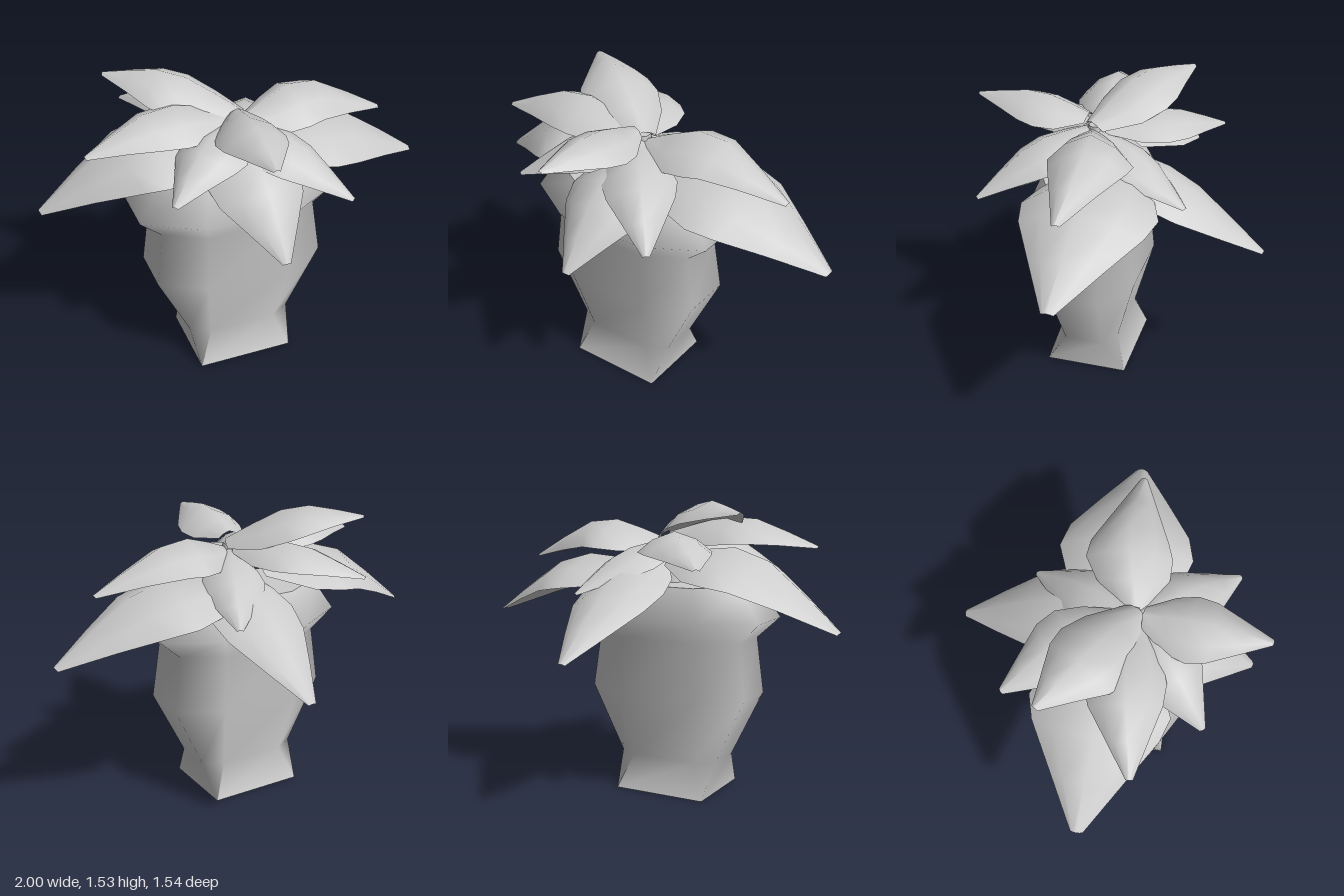
import * as THREE from 'three';

const material = new THREE.MeshStandardMaterial({ color: 0xcccccc, side: THREE.DoubleSide });

function smoothMesh(name, points, index) {
  const geometry = new THREE.BufferGeometry();
  geometry.setAttribute('position', new THREE.Float32BufferAttribute(points, 3));
  geometry.setIndex(index);
  geometry.computeVertexNormals();
  const mesh = new THREE.Mesh(geometry, material);
  mesh.name = name;
  return mesh;
}

// Rectangle with cut corners, counterclockwise seen from above
function cutRectangle([y, x0, x1, z0, z1, cut]) {
  const cx = (x1 - x0) * cut, cz = (z1 - z0) * cut;
  return [
    [x0 + cx, y, z1], [x1 - cx, y, z1], [x1, y, z1 - cz], [x1, y, z0 + cz],
    [x1 - cx, y, z0], [x0 + cx, y, z0], [x0, y, z0 + cz], [x0, y, z1 - cz],
  ];
}

// Pot of stacked rings: height, x range, z range, corner cut
function createPot() {
  const pot = new THREE.Group();
  pot.name = 'pot';
  const rings = [
    [0, -0.31, 0.19, -0.085, 0.345, 0.01],
    [0.18, -0.335, 0.215, -0.03, 0.29, 0.18],
    [0.53, -0.5, 0.38, -0.125, 0.385, 0.25],
    [0.82, -0.465, 0.34, -0.1, 0.36, 0.25],
    [0.93, -0.58, 0.46, -0.17, 0.43, 0.26],
    [1.1, -0.47, 0.35, -0.1, 0.36, 0.26],
  ].map(cutRectangle);
  const index = [];
  for (let r = 1; r < rings.length; r++) {
    for (let i = 0; i < 8; i++) {
      const a = (r - 1) * 8 + i, b = (r - 1) * 8 + (i + 1) % 8;
      index.push(a, b, b + 8, a, b + 8, a + 8);
    }
  }
  pot.add(smoothMesh('potWall', rings.flat(2), index));

  // Flat base and soil
  const fan = [1, 2, 3, 4, 5, 6].flatMap((i) => [0, i, i + 1]);
  pot.add(smoothMesh('potBase', rings[0].flat(), [...fan].reverse()));
  pot.add(smoothMesh('soil', rings[rings.length - 1].flat(), fan));
  return pot;
}

// Arched, pointed leaf whose ridge runs through base, middle and tip
function createLeaf(name, base, middle, tip, width, drop) {
  const ridge = new THREE.CatmullRomCurve3([base, middle, tip].map((p) => new THREE.Vector3(...p)));
  const stations = [[0, 0.34], [0.2, 0.84], [0.4, 1], [0.6, 0.9], [0.8, 0.52], [1, 0.09]];
  const arch = [[-1, 1], [-0.6, 0.4], [0, 0], [0.6, 0.4], [1, 1]];
  const heading = new THREE.Vector3().subVectors(ridge.points[2], ridge.points[0]);
  const side = new THREE.Vector3(-heading.z, 0, heading.x).normalize();
  const points = [], index = [];
  stations.forEach(([t, w], s) => {
    const centre = ridge.getPoint(t);
    const up = new THREE.Vector3().crossVectors(side, ridge.getTangent(t)).normalize();
    for (const [across, down] of arch) {
      const p = centre.clone()
        .addScaledVector(side, across * w * width / 2)
        .addScaledVector(up, -down * w * drop);
      points.push(p.x, p.y, p.z);
    }
    if (s === 0) return;
    for (let i = 0; i < 4; i++) {
      const a = (s - 1) * 5 + i;
      index.push(a, a + 6, a + 1, a, a + 5, a + 6);
    }
  });
  return smoothMesh(name, points, index);
}

export function createModel() {
  const group = new THREE.Group();
  group.name = 'pottedPlant';
  group.add(createPot());

  // Short stem joining the pot to the crown
  const stem = new THREE.Mesh(new THREE.CylinderGeometry(0.04, 0.08, 0.26, 6), material);
  stem.position.set(-0.02, 1.21, 0.12);
  stem.name = 'stem';
  group.add(stem);

  // Leaves: name, base, middle of ridge, tip, width, edge drop
  const leaves = [
    // large drooping lower leaves
    ['lowerRightLeaf', [-0.1, 1.26, 0.02], [-0.52, 1.29, 0.01], [-1, 0.93, -0.02], 0.68, 0.16],
    ['lowerLeftLeaf', [0.05, 1.2, 0.04], [0.5, 1.22, 0.03], [1, 0.9, 0.04], 0.68, 0.15],
    ['lowerBackLeaf', [0.04, 1.26, 0.05], [0.07, 1.14, -0.33], [0.08, 0.81, -0.77], 0.46, 0.1],
    ['lowerFrontLeaf', [-0.02, 1.31, 0.16], [-0.03, 1.18, 0.48], [-0.02, 0.87, 0.74], 0.47, 0.13],
    // middle leaves
    ['middleRightLeaf', [-0.03, 1.36, 0.1], [-0.42, 1.45, 0.13], [-0.8, 1.31, 0.2], 0.38, 0.13],
    ['frontRightLeaf', [-0.05, 1.34, 0.16], [-0.26, 1.34, 0.33], [-0.48, 1.15, 0.51], 0.36, 0.11],
    ['frontLeftLeaf', [-0.02, 1.33, 0.17], [0.16, 1.29, 0.38], [0.37, 1.06, 0.62], 0.36, 0.11],
    ['backRightLeaf', [-0.04, 1.34, 0.1], [-0.22, 1.38, -0.2], [-0.45, 1.24, -0.45], 0.37, 0.1],
    ['backLeftLeaf', [0, 1.32, 0.1], [0.12, 1.27, -0.14], [0.24, 1.08, -0.4], 0.33, 0.1],
    // top leaves
    ['topLeftLeaf', [0, 1.32, 0.13], [0.33, 1.42, 0.05], [0.77, 1.21, 0.07], 0.42, 0.14],
    ['topBackRightLeaf', [0, 1.36, 0.14], [-0.3, 1.53, -0.05], [-0.58, 1.49, -0.25], 0.4, 0.12],
    ['topFrontLeaf', [-0.04, 1.39, 0.16], [-0.07, 1.46, 0.43], [-0.1, 1.41, 0.77], 0.34, 0.11],
  ];
  for (const leaf of leaves) group.add(createLeaf(...leaf));
  return group;
}
